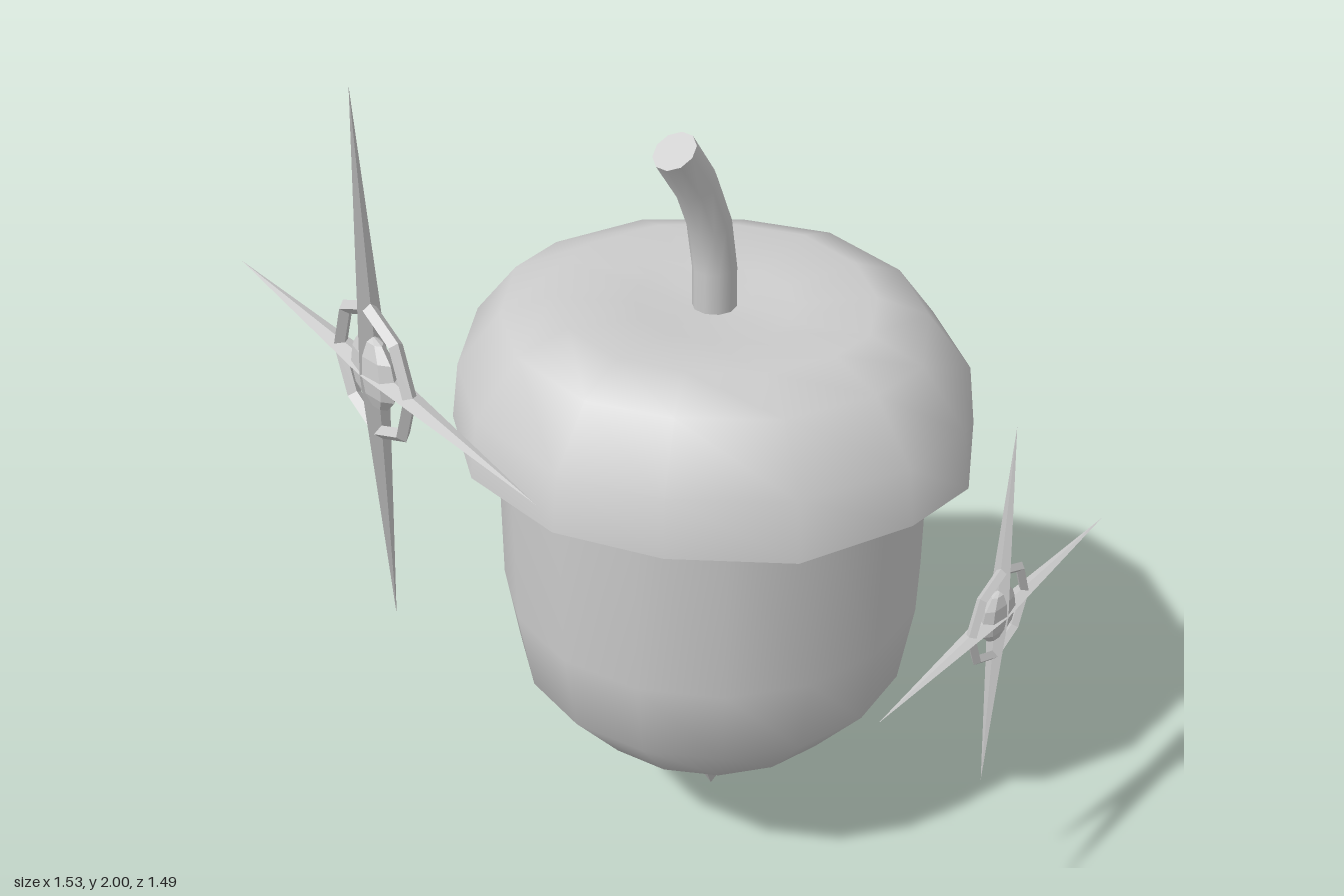
import * as THREE from 'three';

const grey = new THREE.MeshStandardMaterial({ color: 0xcccccc });
const flat = new THREE.MeshStandardMaterial({ color: 0xcccccc, flatShading: true });
const AXIS_X = 0.115;

function part(name, geometry, material = grey) {
  const mesh = new THREE.Mesh(geometry, material);
  mesh.name = name;
  return mesh;
}

// Slightly uneven 14-sided outline of the cap rim: [x, z] around the acorn axis
const RIM = [
  [0.57, -0.08], [0.52, 0.21], [0.365, 0.43], [0.135, 0.585], [-0.06, 0.59],
  [-0.305, 0.5], [-0.48, 0.3], [-0.57, 0.08], [-0.535, -0.2], [-0.4, -0.41],
  [-0.19, -0.575], [-0.005, -0.605], [0.265, -0.53], [0.465, -0.32],
];

// Joins scaled copies of the rim outline; rows are [scale, y, waviness]
function loftRim(rows) {
  const n = RIM.length, pos = [], index = [];
  rows.forEach(([s, y, wave]) => RIM.forEach(([x, z], j) =>
    pos.push(x * s, y + wave * Math.sin(j * 2.1), z * s)));
  for (let i = 0; i < rows.length - 1; i++) {
    for (let j = 0; j < n; j++) {
      const a = i * n + j, b = i * n + (j + 1) % n;
      index.push(a, b, a + n, b, b + n, a + n);
    }
  }
  const geo = new THREE.BufferGeometry();
  geo.setAttribute('position', new THREE.Float32BufferAttribute(pos, 3));
  geo.setIndex(index);
  geo.computeVertexNormals();
  return geo;
}

function createAcorn() {
  const acorn = new THREE.Group();
  acorn.name = 'acorn';

  // Nut with a pointed tip
  const profile = [[0, 0], [0.095, 0.18], [0.32, 0.3], [0.447, 0.455], [0.478, 0.65], [0.478, 1.09]];
  acorn.add(part('nut', new THREE.LatheGeometry(profile.map(p => new THREE.Vector2(...p)), 16)));

  // Cap with a shallow dip around the stem, and its flat underside
  acorn.add(part('cap', loftRim([
    [0.001, 1.325, 0], [0.3, 1.335, 0], [0.6, 1.355, 0], [0.8, 1.315, 0],
    [0.97, 1.19, 0], [1, 1.06, 0.006],
  ])));
  acorn.add(part('capUnderside', loftRim([[1, 1.06, 0.006], [0.75, 1.06, 0]])));

  // Bent stem with a cut end
  const path = new THREE.CatmullRomCurve3([[0, 1.31], [-0.007, 1.48], [-0.057, 1.62], [-0.123, 1.717]]
    .map(([x, y]) => new THREE.Vector3(x, y, -0.005)));
  acorn.add(part('stem', new THREE.TubeGeometry(path, 4, 0.048, 10)));
  const end = part('stemEnd', new THREE.CircleGeometry(0.048, 10));
  end.position.copy(path.getPoint(1));
  end.lookAt(path.getPoint(1).add(path.getTangent(1)));
  acorn.add(end);

  acorn.position.x = AXIS_X;
  return acorn;
}

// Four-pointed sparkle: two long blades, an octagonal ring and a flattened core
function createSparkle(name, x, y, z, size, yaw) {
  const sparkle = new THREE.Group();
  sparkle.name = name;
  sparkle.add(
    part('verticalBlade', new THREE.OctahedronGeometry(1).scale(0.02, 1, 0.055), flat),
    part('horizontalBlade', new THREE.OctahedronGeometry(1).scale(1, 0.02, 0.055), flat),
    part('ring', new THREE.TorusGeometry(0.237, 0.026, 4, 8), flat),
    part('core', new THREE.SphereGeometry(0.14, 8, 6).scale(1, 1, 0.35), flat),
  );
  sparkle.position.set(x, y, z);
  sparkle.scale.setScalar(size);
  sparkle.rotation.y = yaw;
  return sparkle;
}

export function createModel() {
  const model = new THREE.Group();
  model.name = 'sparklingAcorn';
  model.add(
    createAcorn(),
    createSparkle('largeSparkle', -0.66, 1.42, -0.18, 0.577, 1.379),
    createSparkle('mediumSparkle', 0.22, 0.817, 0.705, 0.455, 0.089),
    createSparkle('smallSparkle', 0.643, 0.343, -0.332, 0.235, -1.027),
  );
  return model;
}
